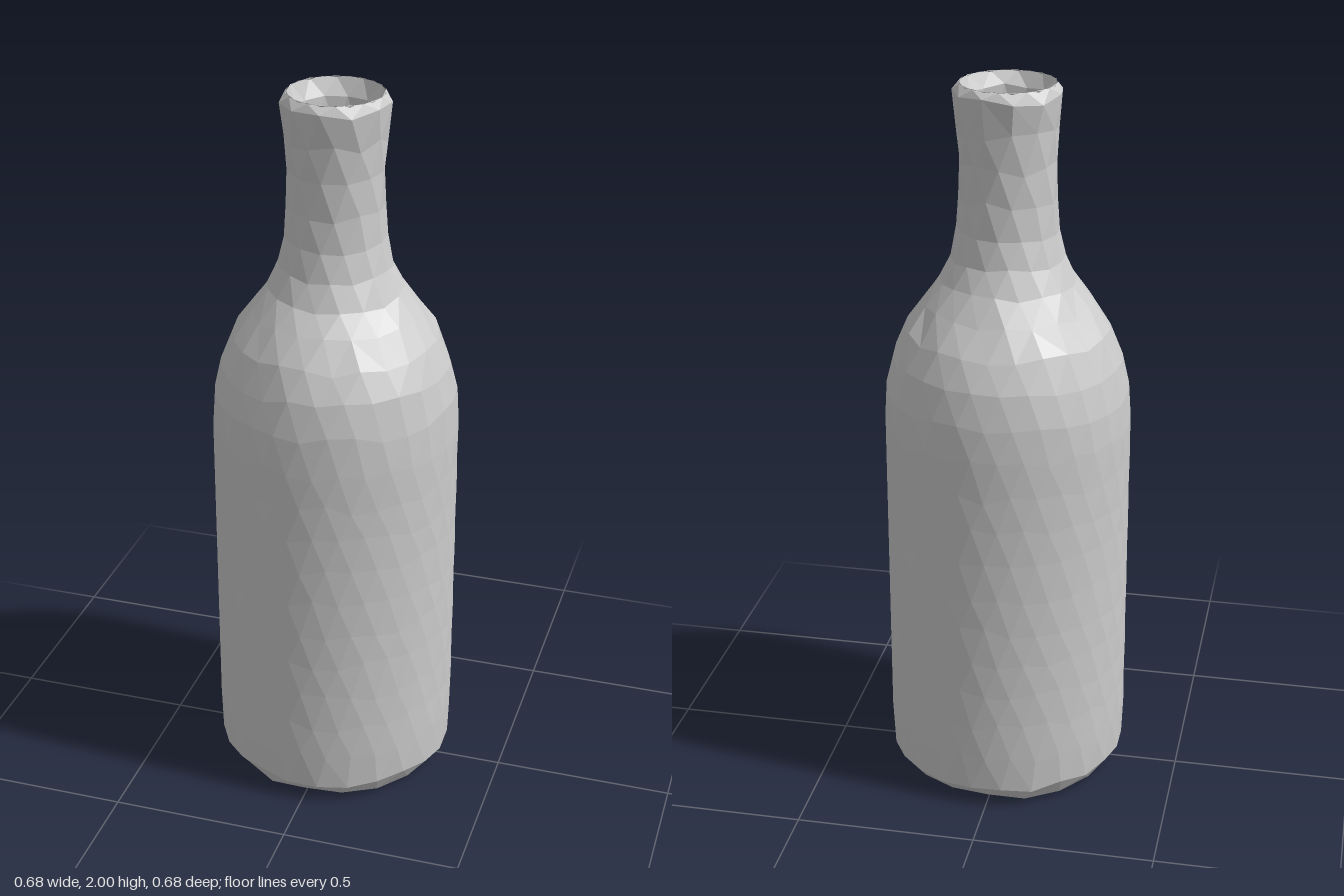
import * as THREE from 'three';

// small seeded noise in -1..1 for the hand-faceted look
function makeNoise(seed) {
  let s = seed;
  return () => {
    s = (s * 16807) % 2147483647;
    return (s / 2147483647) * 2 - 1;
  };
}

// surface through rings [radius, y, sides, yJitter], listed so that the
// outside of the wall is on the right-hand side of the profile direction
function ringSurface(rings, seed) {
  const noise = makeNoise(seed);
  const position = [], index = [];
  const rows = rings.map(([r, y, n, jitter = 0], k) => {
    const row = { start: position.length / 3, n, shift: (k % 2) * 0.5 };
    for (let i = 0; i < n; i++) {
      const a = ((i + row.shift) / n) * Math.PI * 2;
      position.push(r * Math.sin(a), y + noise() * jitter, r * Math.cos(a));
    }
    return row;
  });

  // stitch neighbouring rings, always advancing the ring that lags behind
  for (let k = 0; k + 1 < rows.length; k++) {
    const A = rows[k], B = rows[k + 1];
    const va = (i) => A.start + (i % A.n), vb = (j) => B.start + (j % B.n);
    let i = 0, j = 0;
    while (i < A.n || j < B.n) {
      const nextA = (i + 1 + A.shift) / A.n, nextB = (j + 1 + B.shift) / B.n;
      if (j >= B.n || (i < A.n && nextA <= nextB)) {
        index.push(va(i), va(i + 1), vb(j));
        i++;
      } else {
        index.push(va(i), vb(j + 1), vb(j));
        j++;
      }
    }
  }
  const geometry = new THREE.BufferGeometry();
  geometry.setAttribute('position', new THREE.Float32BufferAttribute(position, 3));
  geometry.setIndex(index);
  geometry.computeVertexNormals();
  return geometry;
}

export function createModel() {
  const group = new THREE.Group();
  const material = new THREE.MeshStandardMaterial({
    color: 0xcccccc, flatShading: true, side: THREE.DoubleSide,
  });
  const add = (name, rings, seed) => {
    const mesh = new THREE.Mesh(ringSurface(rings, seed), material);
    mesh.name = name;
    group.add(mesh);
  };

  // straight side wall
  const wall = [];
  for (let y = 0.16; y < 1.1; y += 0.1) wall.push([0.339, y, 30, 0.015]);

  // outer skin: base, side, shoulder, neck, flared lip
  add('bottleBody', [
    [0.001, 0, 16],
    [0.25, 0, 16],
    [0.305, 0.015, 18, 0.008],
    [0.335, 0.055, 24, 0.012],
    ...wall,
    [0.333, 1.16, 28, 0.012],
    [0.314, 1.25, 26, 0.012],
    [0.28, 1.33, 24, 0.01],
    [0.23, 1.4, 20, 0.01],
    [0.185, 1.465, 18, 0.01],
    [0.155, 1.53, 16, 0.01],
    [0.138, 1.61, 14, 0.01],
    [0.132, 1.7, 12, 0.015],
    [0.131, 1.79, 12, 0.015],
    [0.135, 1.88, 12, 0.015],
    [0.147, 1.975, 11, 0.01],
    [0.13, 2, 11],
  ], 7);

  // rolled lip and hollow inside down to the floor
  add('bottleInside', [
    [0.13, 2, 11],
    [0.108, 1.96, 11, 0.01],
    [0.1, 1.86, 11, 0.01],
    [0.1, 1.62, 11],
    [0.13, 1.5, 14],
    [0.2, 1.38, 18],
    [0.27, 1.27, 24],
    [0.305, 1.1, 24],
    [0.305, 0.09, 24],
    [0.25, 0.04, 16],
    [0.001, 0.04, 16],
  ], 21);
  return group;
}
